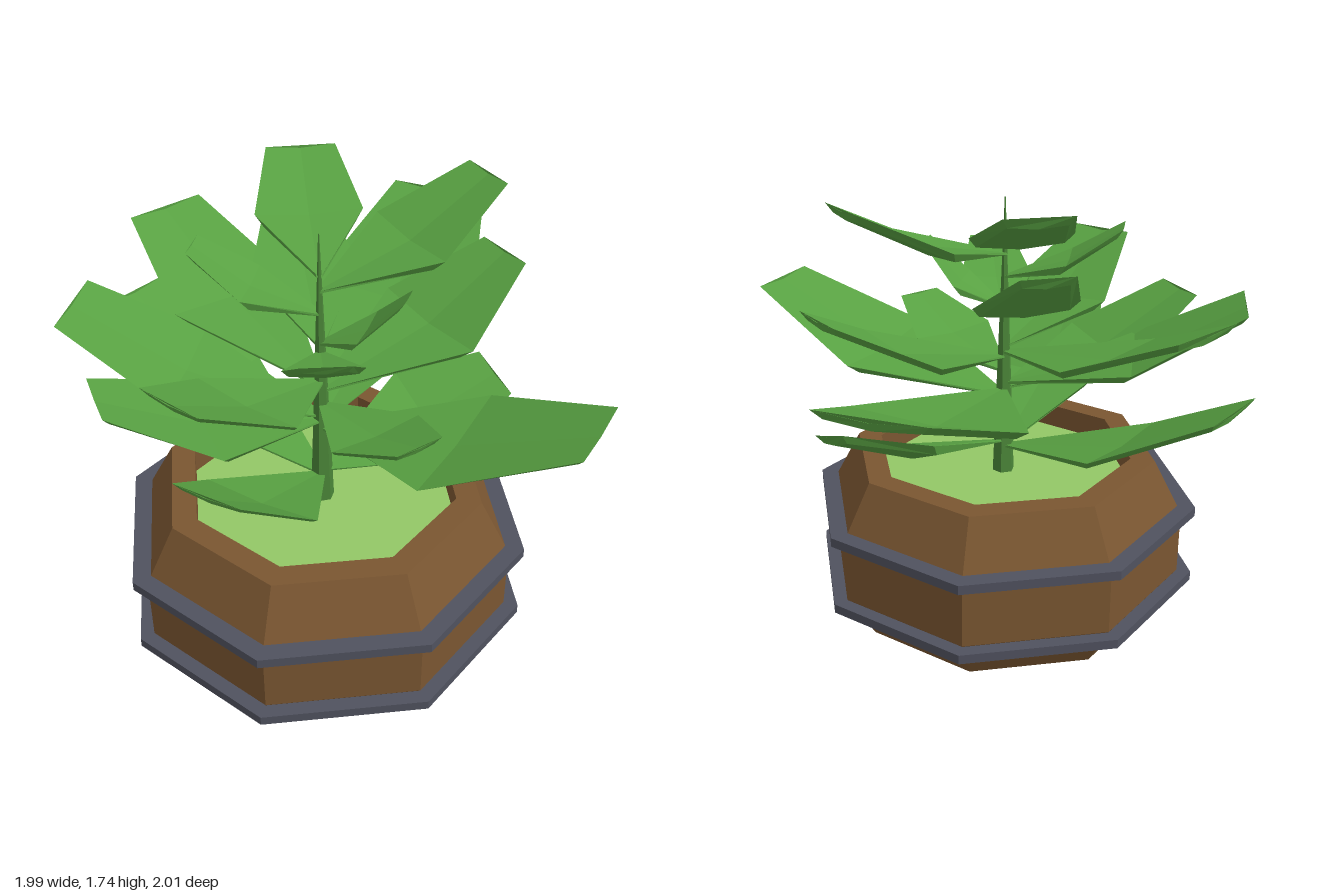
import * as THREE from 'three';

const mat = (color) => new THREE.MeshStandardMaterial({ color, flatShading: true });
const CX = -0.035, CZ = 0.22; // axis of pot and stem

// Eight-sided ring or shell turned from [radius, height] points
function turned(name, points, material) {
  const geo = new THREE.LatheGeometry(points.map(([r, y]) => new THREE.Vector2(r, y)), 8);
  const mesh = new THREE.Mesh(geo.toNonIndexed(), material);
  mesh.geometry.computeVertexNormals();
  mesh.name = name;
  mesh.position.set(CX, 0, CZ);
  return mesh;
}

// Thick leaf lofted through three sections: stalk, widest part, blunt tip
function leafGeometry(length, rise, t, halfWide, halfTip) {
  const sections = [
    [0, 0, 0.012, 0.01],
    [t * length, rise * t * 0.72, halfWide, 0.04],
    [length, rise, halfTip, 0.035],
  ];
  const pos = [], index = [];
  for (const [z, y, w, th] of sections) {
    const inset = w * 0.84, dip = w * 0.08, zb = z - th * 0.6;
    pos.push(w, y, z, 0, y - dip, z, -w, y, z);
    pos.push(-inset, y - th, zb, 0, y - th - dip, zb, inset, y - th, zb);
  }
  for (let s = 0; s < 2; s++) {
    for (let j = 0; j < 6; j++) {
      const a = s * 6 + j, b = s * 6 + (j + 1) % 6;
      index.push(a, b, b + 6, a, b + 6, a + 6);
    }
  }
  for (let j = 1; j < 5; j++) index.push(0, j + 1, j, 12, 12 + j, 13 + j);
  const geo = new THREE.BufferGeometry();
  geo.setAttribute('position', new THREE.Float32BufferAttribute(pos, 3));
  geo.setIndex(index);
  const flat = geo.toNonIndexed();
  flat.computeVertexNormals();
  return flat;
}

export function createModel() {
  const group = new THREE.Group();
  const wood = mat(0x7a5631), metal = mat(0x50525f), soilMat = mat(0x93c766);
  const stemMat = mat(0x4a8538), leafMat = mat(0x58a142);

  // Barrel pot with floor, rim and inner wall
  group.add(turned('pot', [
    [0, 0], [0.605, 0], [0.72, 0.19], [0.72, 0.45], [0.605, 0.665], [0.51, 0.665], [0.51, 0.54],
  ], wood));

  // Metal hoops
  for (const y of [0.15, 0.442]) {
    group.add(turned('hoop', [
      [0.66, y], [0.775, y], [0.775, y + 0.037], [0.66, y + 0.037],
    ], metal));
  }

  // Soil surface
  group.add(turned('soil', [[0.515, 0.57], [0, 0.57]], soilMat));

  // Tapering stem
  const stem = new THREE.Mesh(new THREE.CylinderGeometry(0.002, 0.045, 1.13, 6), stemMat);
  stem.name = 'stem';
  stem.position.set(CX, 0.55 + 1.13 / 2, CZ);
  group.add(stem);

  // Leaves: tip x, tip z, base y, tip y, widest at, half width, half tip width, roll
  const leaves = [
    // lowest tier
    [-0.93, -0.2, 0.68, 1.08, 0.55, 0.23, 0.155],
    [-0.2, 0.92, 0.68, 1.1, 0.57, 0.22, 0.13],
    [0.46, -0.34, 0.7, 0.9, 0.6, 0.22, 0.11, 0.35],
    // large tier
    [0.125, -0.985, 0.92, 1.29, 0.57, 0.33, 0.195],
    [0.955, 0.455, 0.9, 1.24, 0.52, 0.3, 0.16],
    [-0.665, 0.7, 0.93, 1.23, 0.55, 0.25, 0.125],
    [-0.935, 0.29, 0.95, 1.31, 0.55, 0.25, 0.16],
    [0.405, 0.585, 1.0, 1.17, 0.58, 0.18, 0.09],
    // middle tier
    [-0.825, -0.33, 1.08, 1.4, 0.56, 0.25, 0.155],
    [-0.315, 0.88, 1.1, 1.41, 0.53, 0.22, 0.125],
    [0.495, -0.395, 1.06, 1.37, 0.58, 0.26, 0.12],
    // small upper tier
    [-0.29, -0.3, 1.25, 1.54, 0.55, 0.2, 0.1],
    [0.275, 0.24, 1.26, 1.5, 0.55, 0.11, 0.05],
    [0.1, 0.6, 1.22, 1.43, 0.6, 0.14, 0.085],
    [-0.475, 0.245, 1.38, 1.59, 0.55, 0.125, 0.065],
    [0.43, -0.28, 1.47, 1.73, 0.53, 0.21, 0.11],
    [-0.255, -0.29, 1.53, 1.74, 0.53, 0.19, 0.125],
  ];
  for (const [x, z, y0, y1, t, w, tip, roll = 0] of leaves) {
    const dx = x - CX, dz = z - CZ;
    const leaf = new THREE.Mesh(leafGeometry(Math.hypot(dx, dz), y1 - y0, t, w, tip), leafMat);
    leaf.name = 'leaf';
    leaf.position.set(CX, y0, CZ);
    leaf.rotation.set(0, Math.atan2(dx, dz), roll, 'YXZ');
    group.add(leaf);
  }
  return group;
}
